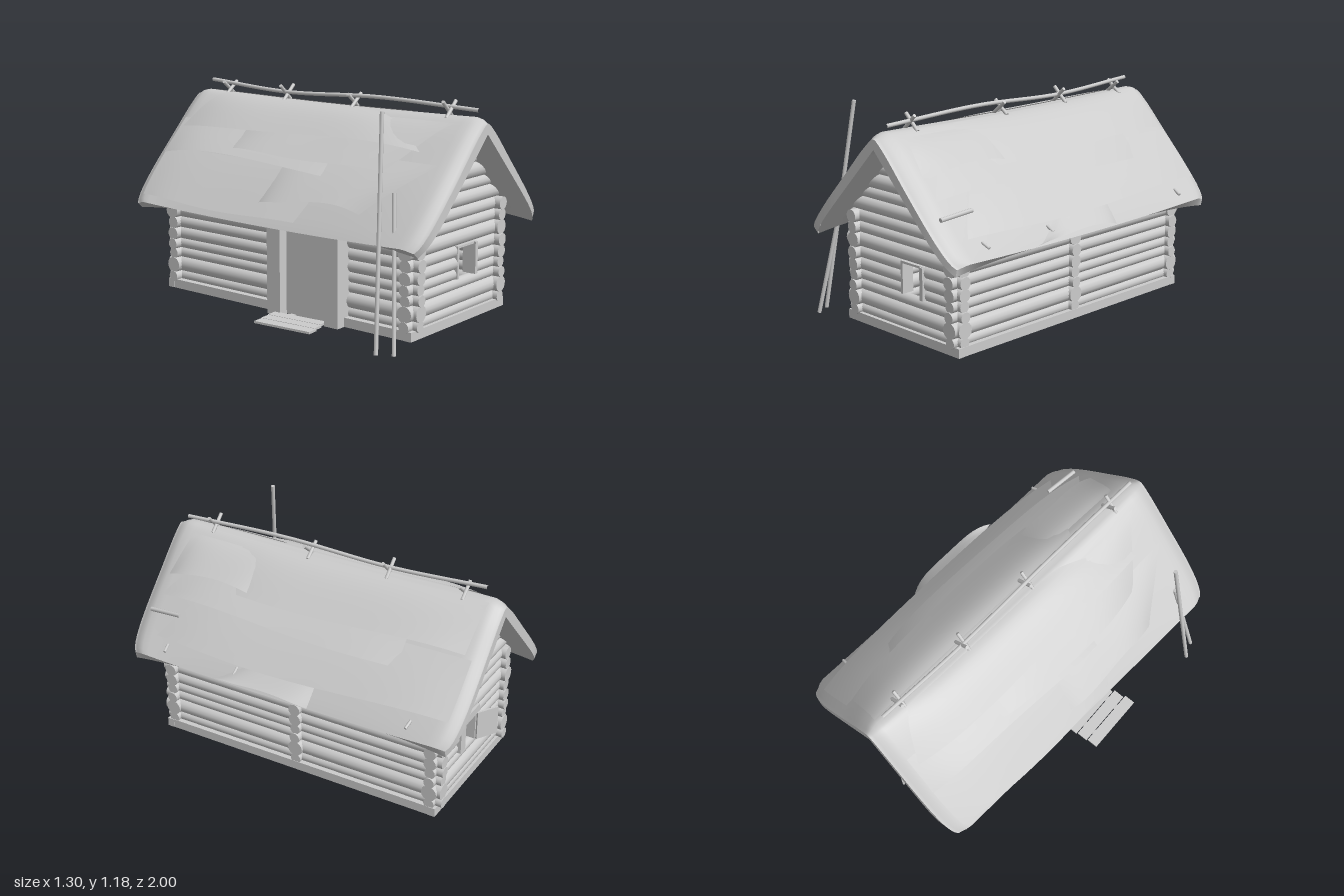
import * as THREE from 'three';

const material = new THREE.MeshStandardMaterial({ color: 0xcccccc });
const thinMaterial = new THREE.MeshStandardMaterial({ color: 0xcccccc, side: THREE.DoubleSide });
const V = (x, y, z) => new THREE.Vector3(x, y, z);

export function createModel() {
  const model = new THREE.Group();

  const add = (name, geometry, mat = material) => {
    const mesh = new THREE.Mesh(geometry, mat);
    mesh.name = name;
    model.add(mesh);
    return mesh;
  };

  // Box given by its extents
  const box = (name, x0, x1, y0, y1, z0, z1) => {
    const mesh = add(name, new THREE.BoxGeometry(x1 - x0, y1 - y0, z1 - z0));
    mesh.position.set((x0 + x1) / 2, (y0 + y1) / 2, (z0 + z1) / 2);
    return mesh;
  };

  // Round stick between two points
  const stick = (name, a, b, r, sides = 14) => {
    const mesh = add(name, new THREE.CylinderGeometry(r, r, a.distanceTo(b), sides));
    mesh.position.copy(a).add(b).multiplyScalar(0.5);
    mesh.quaternion.setFromUnitVectors(V(0, 1, 0), b.clone().sub(a).normalize());
    return mesh;
  };

  // Grid surface from a rule of u and v in 0..1
  const sheet = (name, fn, nu, nv) => {
    const pos = [], index = [];
    for (let j = 0; j <= nv; j++) for (let i = 0; i <= nu; i++) {
      pos.push(...fn(i / nu, j / nv).toArray());
      if (i < nu && j < nv) {
        const a = j * (nu + 1) + i, b = a + nu + 1;
        index.push(a, b, a + 1, a + 1, b, b + 1);
      }
    }
    const g = new THREE.BufferGeometry();
    g.setAttribute('position', new THREE.Float32BufferAttribute(pos, 3));
    g.setIndex(index);
    g.computeVertexNormals();
    return add(name, g, thinMaterial);
  };

  // Log walls: edges between courses, bottom to top
  const courses = [0.06, 0.115, 0.195, 0.25, 0.305, 0.37, 0.433, 0.51, 0.57, 0.635,
    0.71, 0.77, 0.85, 0.91, 0.965, 1.02];
  const xL = -0.335, xR = 0.415, zF = 0.8, zB = -0.82;
  for (let i = 0; i < courses.length - 1; i++) {
    const y = (courses[i] + courses[i + 1]) / 2;
    const r = (courses[i + 1] - courses[i]) / 2 * 1.1;
    const isWindow = i >= 3 && i <= 5;
    const j = (i % 3 - 1) * 0.004;

    // End walls and gables
    const half = 1.075 - y;
    const x0 = i < 9 ? -0.4 + j : 0.03 - half, x1 = i < 9 ? 0.47 + j : 0.03 + half;
    for (const [z, w0, w1, name] of [[zF, 0.03, 0.19, 'frontLog'], [zB, 0.02, 0.18, 'backLog']]) {
      if (isWindow) {
        stick(name, V(x0, y, z), V(w0, y, z), r);
        stick(name, V(w1, y, z), V(x1, y, z), r);
      } else stick(name, V(x0, y, z), V(x1, y, z), r);
    }
    if (i > 8) continue;

    // Side walls, one with a row of joint ends in the middle
    for (const x of [xL, xR]) stick('sideLog', V(x, y, -0.88 + j), V(x, y, 0.86 + j), r);
    stick('jointLog', V(0.22, y, -0.01), V(0.47 + j, y, -0.01), r);
  }

  // Sill frame
  box('frontSill', -0.4, 0.47, 0.02, 0.07, 0.805, 0.845);
  box('backSill', -0.4, 0.47, 0.02, 0.07, -0.86, -0.82);
  box('sideSill', 0.43, 0.468, 0.02, 0.07, -0.82, 0.805);
  box('sideSill', -0.398, -0.36, 0.02, 0.07, -0.82, 0.805);

  // Door with its frame and the plank step
  box('doorPost', -0.455, -0.35, 0.02, 0.6, -0.06, 0.03);
  box('doorPost', -0.455, -0.35, 0.02, 0.6, 0.33, 0.42);
  box('doorLintel', -0.44, -0.35, 0.55, 0.6, 0.03, 0.33);
  box('door', -0.4, -0.37, 0.025, 0.56, 0.02, 0.34);
  for (let i = 0; i < 3; i++) {
    const plank = box('stepPlank', -0.64 + i * 0.068, -0.576 + i * 0.068, 0.026, 0.038, 0.02 - i * 0.012, 0.37 - i * 0.02);
    plank.rotation.y = 0.08;
  }
  for (const z of [0.08, 0.28]) box('stepBearer', -0.6, -0.4, 0.019, 0.027, z - 0.015, z + 0.015);

  // Windows and shutter
  box('frontWindowJamb', 0.18, 0.203, 0.255, 0.43, 0.765, 0.845);
  box('frontWindowJamb', 0.025, 0.04, 0.255, 0.43, 0.765, 0.835);
  box('frontWindowHead', 0.025, 0.2, 0.42, 0.432, 0.765, 0.835);
  box('backWindowJamb', 0.14, 0.195, 0.255, 0.43, -0.865, -0.78);
  box('backWindowJamb', 0.01, 0.028, 0.255, 0.43, -0.865, -0.78);
  box('backWindowHead', 0.0, 0.2, 0.42, 0.465, -0.875, -0.85);
  box('shutter', -0.09, 0.04, 0.26, 0.425, -0.915, -0.903).rotation.y = -0.55;

  // Roof cross-section from one eave over the ridge to the other
  const profile = new THREE.SplineCurve([
    [-0.56, 0.54], [-0.39, 0.72], [-0.225, 0.89], [-0.06, 1.06], [0.03, 1.118],
    [0.12, 1.06], [0.28, 0.89], [0.44, 0.72], [0.6, 0.55],
  ].map(p => new THREE.Vector2(...p)));
  const trim = (s, z) => z * (1 - 0.045 * Math.abs(s) ** 10);
  const roofPoint = (s, z, lift = 0) => {
    const t = (s + 1) / 2, p = profile.getPoint(t), d = profile.getTangent(t);
    const end = THREE.MathUtils.smoothstep(Math.abs(z), 0.93, 1);
    const out = lift + 0.035 * Math.sin(Math.PI * Math.abs(s)) * (1 - z ** 4) - 0.03 * end;
    return V(p.x - d.y * out, p.y + d.x * out - 0.018 * (1 - z * z), trim(s, z));
  };
  const ceilingPoint = (s, z) => {
    const a = Math.abs(s);
    return V(0.03 + (s < 0 ? 0.535 : 0.54) * s, 1.035 - 0.545 * a + 0.035 * (1 - z ** 4) * a ** 3, trim(s, z));
  };
  const along = v => 0.998 * Math.sin(Math.PI * (v - 0.5));
  sheet('roof', (u, v) => roofPoint(u * 2 - 1, along(v)), 48, 32);
  sheet('roofUnderside', (u, v) => ceilingPoint(u * 2 - 1, along(v)), 32, 32);
  for (const e of [-1, 1]) {
    const z = e * 0.998;
    sheet('roofEnd', (u, v) => roofPoint(u * 2 - 1, z).lerp(ceilingPoint(u * 2 - 1, z), v), 48, 1);
    sheet('eave', (u, v) => roofPoint(e, along(u)).lerp(ceilingPoint(e, along(u)), v), 32, 1);
  }

  // Overlapping roof covering: side, slope range, z range at top, z range at bottom, lift
  const coverings = [
    [1, 0.1, 0.5, 0.5, -0.92, 0.6, -0.9, 0.045],
    [1, 0.2, 0.48, 0.85, 0.3, 0.9, 0.3, 0.045],
    [1, 0.3, 0.64, 0.7, -0.58, 0.9, -0.58, 0.05],
    [1, 0.5, 0.86, 0.6, -0.94, 0.84, -0.94, 0.04],
    [1, 0.75, 1, 0.1, -0.18, 0.45, -0.18, 0.06],
    [-1, 0.08, 0.45, 0.3, -0.75, 0.75, -0.9, 0.05],
    [-1, 0.2, 0.6, 0.85, -0.3, 0.6, -0.5, 0.06],
    [-1, 0.4, 0.66, 0.2, -0.93, 0.35, -0.93, 0.045],
    [-1, 0.5, 0.85, 0.88, 0, 0.58, -0.1, 0.05],
    [-1, 0.62, 0.95, 0.3, -0.93, 0.2, -0.93, 0.03],
  ];
  coverings.forEach(([side, s0, s1, a0, a1, b0, b1, lift], k) => {
    sheet('roofCovering', (u, v) => {
      const z = THREE.MathUtils.lerp(THREE.MathUtils.lerp(a0, a1, u), THREE.MathUtils.lerp(b0, b1, u), v);
      const wave = 0.018 * Math.sin(u * 5 + k * 2) * v;
      const taper = 1 - Math.abs(2 * u - 1) ** 4;
      const s = Math.min(1, s0 + (s1 - s0) * v + wave);
      return roofPoint(side * s, z, 0.004 + lift * v * (0.15 + 0.85 * taper));
    }, 16, 8);
  });

  // Ridge pole with crossed sticks
  const ridge = new THREE.CatmullRomCurve3([V(0.05, 1.148, 0.93), V(0.04, 1.166, 0.3), V(0.03, 1.145, -0.33), V(0.03, 1.175, -0.89)]);
  add('ridgePole', new THREE.TubeGeometry(ridge, 24, 0.011, 8));
  [0.76, 0.14, -0.33, -0.77].forEach((z, i) => {
    for (const e of [-1, 1]) {
      const x = 0.036 + (i % 2) * 0.01, c = e * 0.01;
      stick('ridgeCross', V(x - e * 0.042, 1.1, z + c), V(x + e * 0.045, 1.183 - (i % 2) * 0.012, z + c), 0.01, 8);
    }
  });

  // Loose pegs on the slope
  for (const z of [0.76, 0.3, -0.75]) stick('roofPeg', roofPoint(0.88, z, 0), roofPoint(0.93, z, 0.02), 0.008, 8);
  stick('roofStick', roofPoint(0.73, 0.93, 0.01), roofPoint(0.72, 0.73, 0.02), 0.012, 8);

  // Poles leaning on the eave
  stick('leaningPole', V(-0.645, 0.01, 0.81), V(-0.475, 1.18, 0.71), 0.011, 8);
  stick('leaningPole', V(-0.605, 0.01, 0.89), V(-0.465, 0.785, 0.78), 0.011, 8);

  return model;
}
